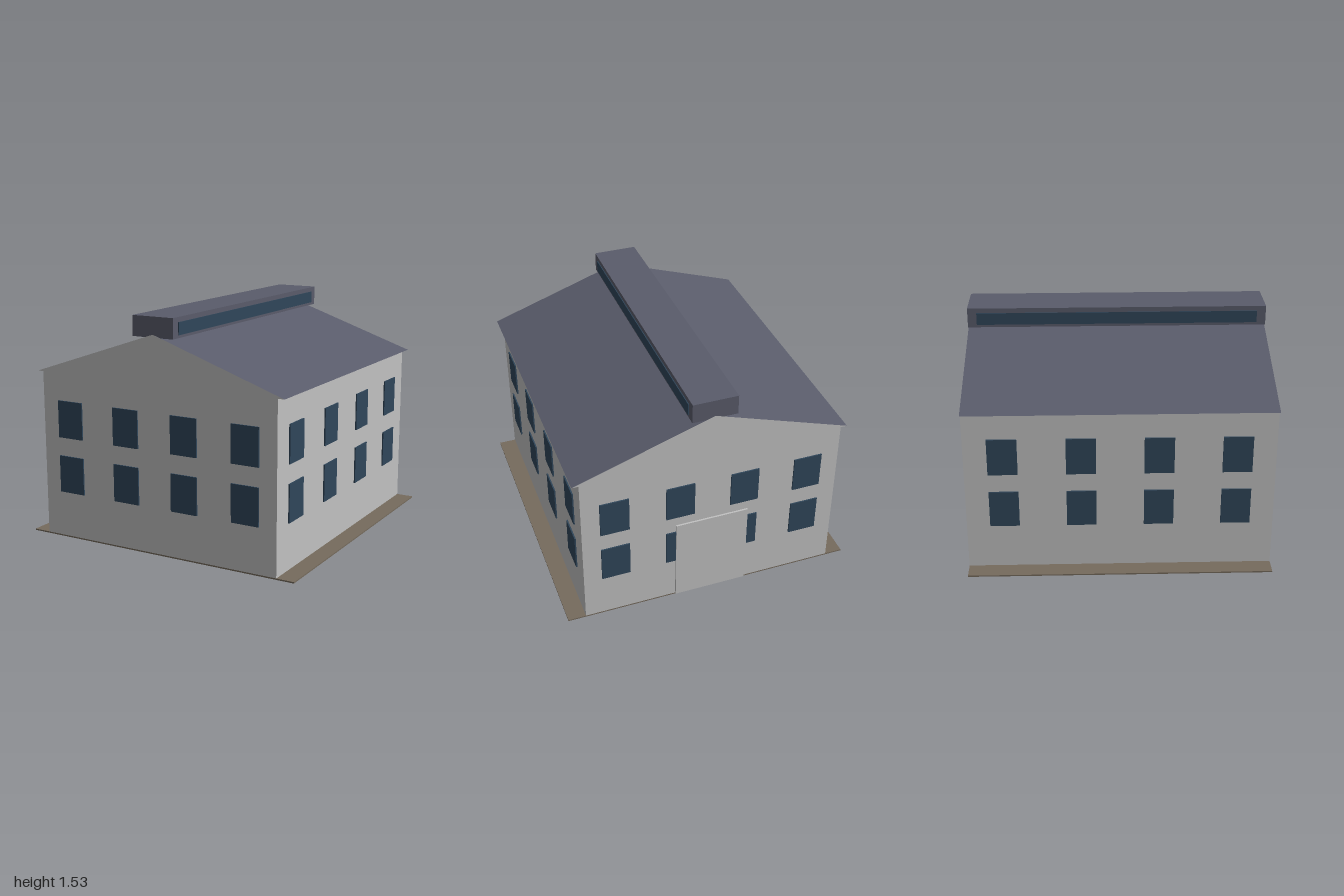
import * as THREE from 'three';

const mat = (name, color) => {
  const m = new THREE.MeshStandardMaterial({ color });
  m.name = name;
  return m;
};

export function createModel() {
  const wall = mat('wall grey', 0xc2c2c2);
  const slate = mat('roof slate', 0x5a5c6b);
  const glass = mat('window blue', 0x30465a);
  const earth = mat('ground brown', 0x766b5d);

  const model = new THREE.Group();
  model.name = 'building';

  const W = 0.866;   // half width of the walls
  const D = 0.988;   // half depth of the walls
  const EAVE = 1.115, RIDGE = 1.423, OVERHANG = 0.91;

  const box = (name, w, h, d, x, y, z, material, parent = model) => {
    const mesh = new THREE.Mesh(new THREE.BoxGeometry(w, h, d), material);
    mesh.name = name;
    mesh.position.set(x, y, z);
    parent.add(mesh);
    return mesh;
  };

  // Ground slab and main block
  box('groundSlab', 1.97, 0.009, 2 * D, 0, 0.0045, 0, earth);
  box('walls', 2 * W, EAVE - 0.009, 2 * D, 0, (EAVE + 0.009) / 2, 0, wall);

  // Gable roof: wall-coloured ends, slate slopes and soffit
  const gable = new THREE.Shape();
  gable.moveTo(-OVERHANG, EAVE);
  gable.lineTo(OVERHANG, EAVE);
  gable.lineTo(0, RIDGE);
  gable.closePath();
  const roofGeometry = new THREE.ExtrudeGeometry(gable, { depth: 2 * D, bevelEnabled: false });
  roofGeometry.translate(0, 0, -D);
  const roof = new THREE.Mesh(roofGeometry, [wall, slate]);
  roof.name = 'gableRoof';
  model.add(roof);

  // Raised ridge monitor with a long window on each side
  box('ridgeMonitor', 0.296, 0.131, 2 * D - 0.002, 0, 1.4695, 0, slate);
  for (const s of [-1, 1]) {
    box('monitorWindow', 0.008, 0.08, 1.855, s * 0.15, 1.463, 0, glass);
  }

  // Two rows of four windows on every wall
  const windows = new THREE.Group();
  windows.name = 'windows';
  model.add(windows);
  const T = 0.009;
  for (const y of [0.437, 0.809]) {
    for (const i of [-1.5, -0.5, 0.5, 1.5]) {
      for (const s of [-1, 1]) {
        box('endWindow', 0.19, 0.248, T, i * 0.434, y, s * (D + T / 2), glass, windows);
        box('sideWindow', T, 0.248, 0.19, s * (W + T / 2), y, i * 0.495, glass, windows);
      }
    }
  }

  // Large door on the back wall, overlapping the lower windows
  box('backDoor', 0.492, 0.606, 0.012, 0, 0.312, -D - 0.006, wall);

  return model;
}
